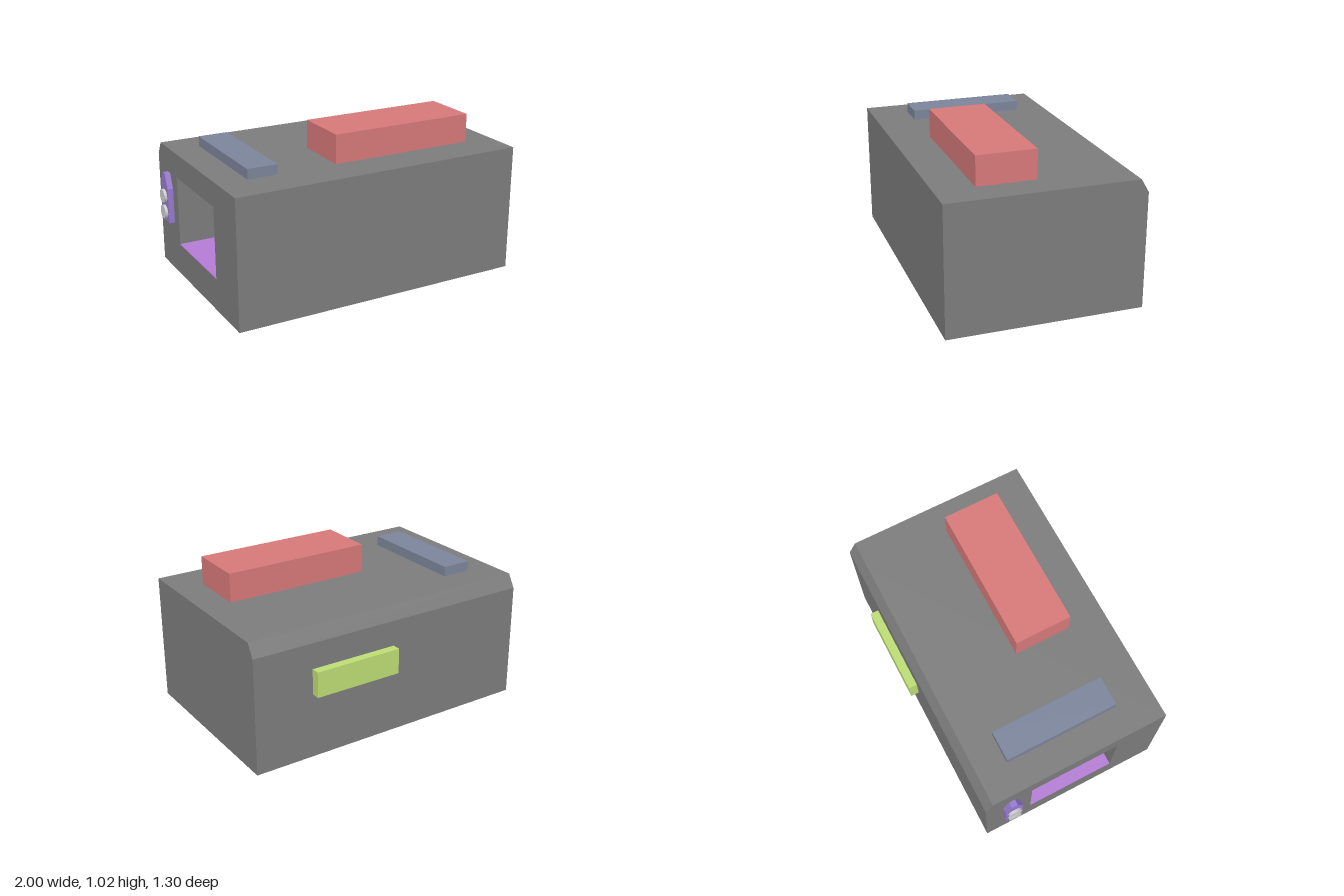
import * as THREE from 'three';

const material = (color) => new THREE.MeshStandardMaterial({ color });

// Box given by its minimum and maximum corners
function block(name, [x0, y0, z0], [x1, y1, z1], mat) {
  const mesh = new THREE.Mesh(new THREE.BoxGeometry(x1 - x0, y1 - y0, z1 - z0), mat);
  mesh.position.set((x0 + x1) / 2, (y0 + y1) / 2, (z0 + z1) / 2);
  mesh.name = name;
  return mesh;
}

const outline = (points) => new THREE.Shape(points.map(([z, y]) => new THREE.Vector2(z, y)));

// Side profile of (z, y) points swept along x from x0 to x1
function sweep(name, shape, x0, x1, mat) {
  const geometry = new THREE.ExtrudeGeometry(shape, { depth: x1 - x0, bevelEnabled: false });
  geometry.rotateY(-Math.PI / 2).translate(x1, 0, 0);
  const mesh = new THREE.Mesh(geometry, mat);
  mesh.name = name;
  return mesh;
}

export function createModel() {
  const model = new THREE.Group();
  model.name = 'machine';
  const casing = material(0x7c7c7c);
  const grey = material(0xcccccc);

  // Casing with a chamfered upper back edge and a pocket in its right side
  const profile = [[0.655, 0], [0.655, 0.835], [-0.54, 0.835], [-0.59, 0.75], [-0.59, 0]];
  const pocketEnd = 0.8;
  const hollow = outline(profile);
  hollow.holes.push(outline([[-0.27, 0.21], [0.33, 0.21], [0.33, 0.675], [-0.27, 0.675]]));
  const body = new THREE.Group();
  body.name = 'casing';
  body.add(
    sweep('hollowCasing', hollow, -0.945, pocketEnd, casing),
    sweep('solidEnd', outline(profile), pocketEnd, 1, casing)
  );
  model.add(body);
  model.add(block('pocketFloor', [-0.945, 0.21, -0.27], [pocketEnd, 0.216, 0.33], material(0xb47cd4)));

  // Blocks on the top and the back
  model.add(block('topBlock', [-0.165, 0.835, 0.03], [0.805, 1.022, 0.405], material(0xd67878)));
  model.add(block('topStrip', [-0.755, 0.835, -0.345], [-0.56, 0.9, 0.405], material(0x7b849a)));
  model.add(block('backPanel', [0.025, 0.42, -0.645], [0.61, 0.585, -0.59], material(0xbcdc74)));

  // Control plate with a tapered top, and its two round buttons
  const plate = outline([
    [-0.35, 0.34], [-0.35, 0.575], [-0.39, 0.67], [-0.43, 0.67], [-0.47, 0.575], [-0.47, 0.34]
  ]);
  model.add(sweep('controlPlate', plate, -0.982, -0.945, material(0x967ad0)));
  for (const [name, y] of [['lowerButton', 0.405], ['upperButton', 0.515]]) {
    const button = new THREE.Mesh(new THREE.CylinderGeometry(0.045, 0.045, 0.018, 32), grey);
    button.rotation.z = Math.PI / 2;
    button.position.set(-0.991, y, -0.41);
    button.name = name;
    model.add(button);
  }
  return model;
}
